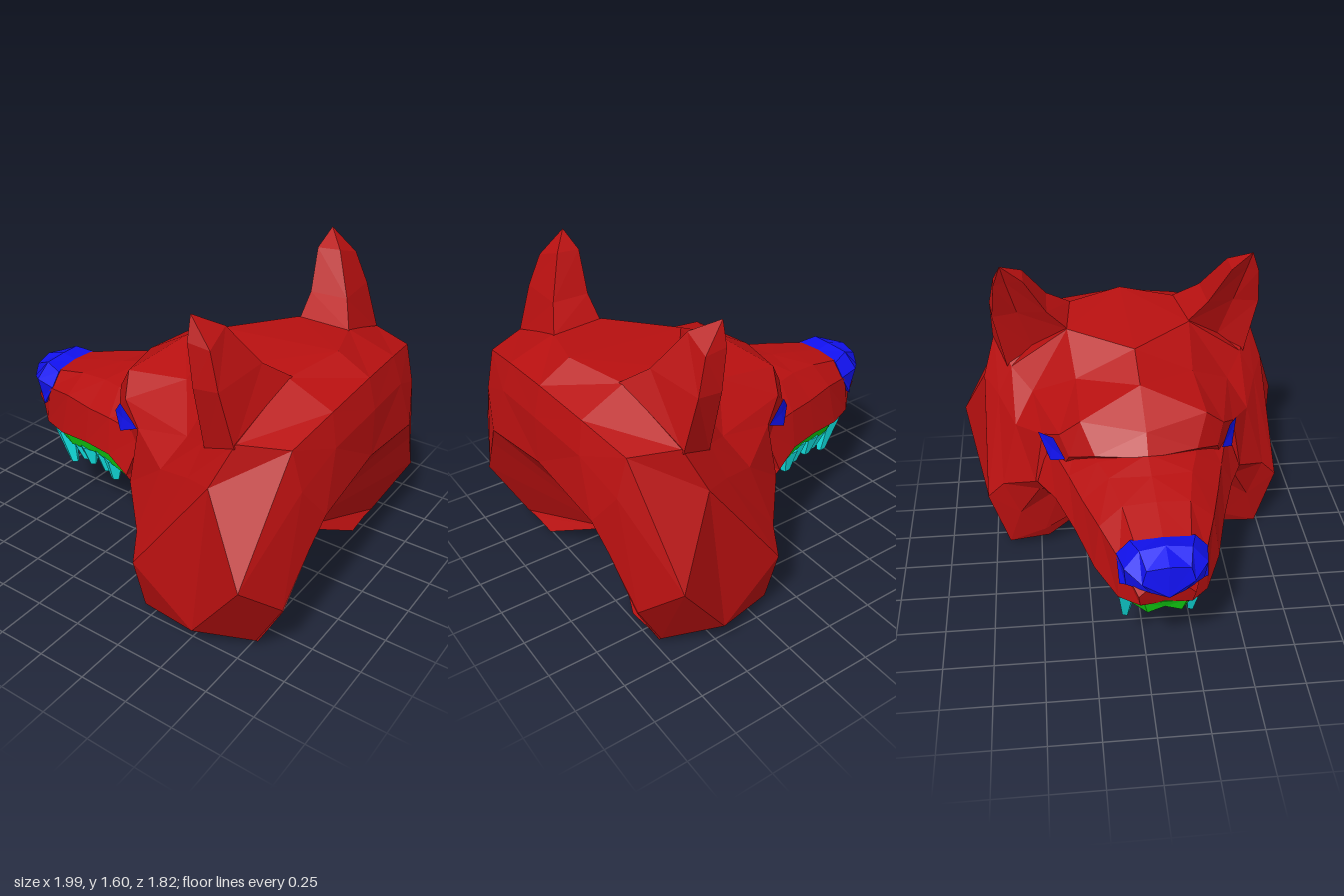
import * as THREE from 'three';

const material = (color) => new THREE.MeshStandardMaterial({ color, flatShading: true, side: THREE.DoubleSide });
const red = material(0xb81010), blue = material(0x1111ee), green = material(0x11cc11), cyan = material(0x11dddd);

// Flat-shaded mesh from a list of triangles
function mesh(name, tris, mat) {
  const g = new THREE.BufferGeometry();
  g.setAttribute('position', new THREE.Float32BufferAttribute(tris.flat(2), 3));
  g.computeVertexNormals();
  const m = new THREE.Mesh(g, mat);
  m.name = name;
  return m;
}

// Mirror triangles across z = 0, keeping them facing outward
const mirror = (tris) => tris.map((t) => [t[0], t[2], t[1]].map(([x, y, z]) => [x, y, -z]));

// Quads between neighbouring cross-sections
function skin(rings, closed = false) {
  const tris = [], n = rings[0].length;
  for (let i = 0; i < rings.length - 1; i++) {
    for (let j = 0; j < (closed ? n : n - 1); j++) {
      const k = (j + 1) % n;
      const a = rings[i][j], b = rings[i][k], c = rings[i + 1][k], d = rings[i + 1][j];
      tris.push([a, b, d], [b, c, d]);
    }
  }
  return tris;
}

// Symmetric solid: half sections run from top centre to bottom centre, front to back
function symmetric(name, rings, mat) {
  const tris = skin(rings);
  const cap = (ring, front) => {
    const hub = ring[ring.length - 1];
    for (let j = 0; j < ring.length - 2; j++) {
      tris.push(front ? [hub, ring[j + 1], ring[j]] : [hub, ring[j], ring[j + 1]]);
    }
  };
  cap(rings[0], true);
  cap(rings[rings.length - 1], false);
  return mesh(name, [...tris, ...mirror(tris)], mat);
}

// Brow and crown
const skullRings = [
  [[-.34, .91, 0], [-.28, .9, .25], [-.2, .85, .37], [-.1, .7, .42], [-.05, .62, .45], [0, .55, .4], [0, .5, .3], [0, .5, 0]],
  [[-.27, 1.01, 0], [-.18, 1.04, .31], [-.13, .94, .41], [0, .86, .49], [-.02, .58, .54], [.02, .5, .52], [.05, .48, .4], [.05, .5, 0]],
  [[-.05, 1.14, 0], [.15, 1.08, .3], [.3, .93, .52], [.22, .78, .62], [.14, .46, .71], [.12, .27, .63], [.13, .13, .5], [.15, .45, 0]],
  [[.15, 1.23, 0], [.4, 1.23, .32], [.45, 1.0, .62], [.42, .85, .7], [.18, .35, .8], [.17, .03, .7], [.16, .06, .48], [.3, .38, 0]],
];
// Cheeks, jaw and neck, ending in a back hollowed toward the throat
const neckRings = [
  [[.77, 1.27, 0], [.68, 1.24, .3], [.66, 1.1, .7], [.57, .89, .77], [.52, .12, .82], [.36, 0, .6], [.36, 0, .48], [.42, .3, 0]],
  [[.93, 1.18, 0], [.91, 1.15, .32], [.87, 1.09, .6], [.81, .53, .91], [.75, .03, .63], [.74, .03, .55], [.74, .02, .4], [.54, .23, 0]],
  [[.97, 1.03, 0], [.95, 1.0, .35], [.92, .9, .59], [.92, .35, .71], [.755, .03, .63], [.75, .03, .55], [.75, .02, .4], [.57, .225, 0]],
  [[.975, .79, 0], [.978, .73, .46], [.955, .6, .55], [.925, .35, .71], [.76, .03, .63], [.755, .03, .55], [.755, .02, .4], [.6, .22, 0]],
];
const muzzleRings = [
  [[-.95, .66, 0], [-.95, .65, .08], [-.95, .6, .13], [-.93, .53, .12], [-.91, .51, .1], [-.9, .51, 0]],
  [[-.8, .8, 0], [-.8, .79, .13], [-.81, .71, .2], [-.83, .5, .21], [-.82, .49, .17], [-.82, .5, 0]],
  [[-.6, .85, 0], [-.6, .84, .16], [-.62, .75, .27], [-.65, .53, .3], [-.65, .5, .26], [-.65, .52, 0]],
  [[-.45, .885, 0], [-.42, .87, .2], [-.43, .76, .33], [-.43, .58, .37], [-.43, .56, .32], [-.43, .56, 0]],
  [[-.32, .92, 0], [-.3, .88, .24], [-.26, .78, .38], [-.22, .62, .45], [-.22, .59, .4], [-.22, .56, 0]],
  [[0, .95, 0], [0, .9, .3], [0, .8, .46], [-.05, .6, .53], [-.02, .5, .48], [0, .5, 0]],
];
const noseRings = [
  [[-.98, .79, 0], [-.97, .77, .1], [-.98, .7, .12], [-.97, .64, .08], [-1, .63, 0]],
  [[-.87, .82, 0], [-.88, .81, .12], [-.9, .73, .19], [-.88, .62, .18], [-.9, .6, 0]],
  [[-.78, .8, 0], [-.78, .79, .15], [-.78, .72, .21], [-.85, .6, .205], [-.85, .6, 0]],
];
// Gum line: x, upper y, lower y, half width
const gumRings = [
  [-.91, .52, .44, .1], [-.82, .5, .44, .18], [-.65, .51, .44, .27],
  [-.43, .57, .49, .33], [-.22, .6, .5, .41], [-.04, .55, .48, .46],
].map(([x, top, low, w]) => [[x, top, 0], [x, top, w], [x + .02, low, w - .02], [x + .02, low + .03, 0]]);

// Ear sections, base to tip: inner front, inner back, outer back, outer front, hollow
const tip = [.4, 1.6, .64];
const earRings = [
  [[.41, 1.22, .31], [.69, 1.24, .28], [.66, 1.08, .71], [.47, .98, .64], [.51, 1.08, .5]],
  [[.41, 1.33, .42], [.61, 1.34, .41], [.58, 1.32, .71], [.45, 1.3, .7], [.48, 1.3, .57]],
  [[.38, 1.52, .53], [.5, 1.53, .53], [.52, 1.48, .68], [.41, 1.49, .68], [.43, 1.5, .62]],
  [tip, tip, tip, tip, tip],
];

// Faceted eye set under the brow: rim and sunken centre
const eyeRim = [[-.21, .845, .39], [-.13, .79, .46], [.01, .87, .51], [-.14, .93, .44]];
const eyeTris = eyeRim.map((p, i) => [[-.12, .86, .45], p, eyeRim[(i + 1) % 4]]);

// Tapered five-sided tooth leaning from its root to its tip
function tooth(x, y, z, rx, height, lean) {
  const g = new THREE.CylinderGeometry(1, .4, 1, 5);
  const p = g.attributes.position;
  for (let i = 0; i < p.count; i++) {
    const t = .5 - p.getY(i);
    p.setXYZ(i, x + p.getX(i) * rx + lean * t, y - height * t, z + p.getZ(i) * .05);
  }
  g.computeVertexNormals();
  const m = new THREE.Mesh(g, cyan);
  m.name = 'tooth';
  return m;
}

export function createModel() {
  const model = new THREE.Group();
  const head = new THREE.Group();
  head.name = 'head';
  head.rotation.y = .04;
  head.position.z = .033;
  model.add(head);

  // Skull and neck share one skin
  head.add(symmetric('skull', [...skullRings, ...neckRings], red));
  head.add(symmetric('muzzle', muzzleRings, red));
  head.add(symmetric('nose', noseRings, blue));
  head.add(symmetric('gums', gumRings, green));

  // Ears and eyes, one per side
  const ear = skin(earRings, true).map(([a, b, c]) => [a, c, b]);
  head.add(mesh('nearEar', ear, red), mesh('farEar', mirror(ear), red));
  head.add(mesh('nearEye', eyeTris, blue), mesh('farEye', mirror(eyeTris), blue));

  // Fangs and double-cusped cheek teeth
  const teeth = new THREE.Group();
  teeth.name = 'teeth';
  for (const s of [1, -1]) {
    teeth.add(
      tooth(-.75, .455, s * .16, .07, .19, .05),
      tooth(-.59, .455, s * .22, .06, .095, .03),
      tooth(-.51, .475, s * .25, .06, .105, .02),
      tooth(-.39, .495, s * .28, .06, .11, .02),
      tooth(-.29, .505, s * .32, .065, .12, .005),
    );
  }
  head.add(teeth);
  return model;
}
